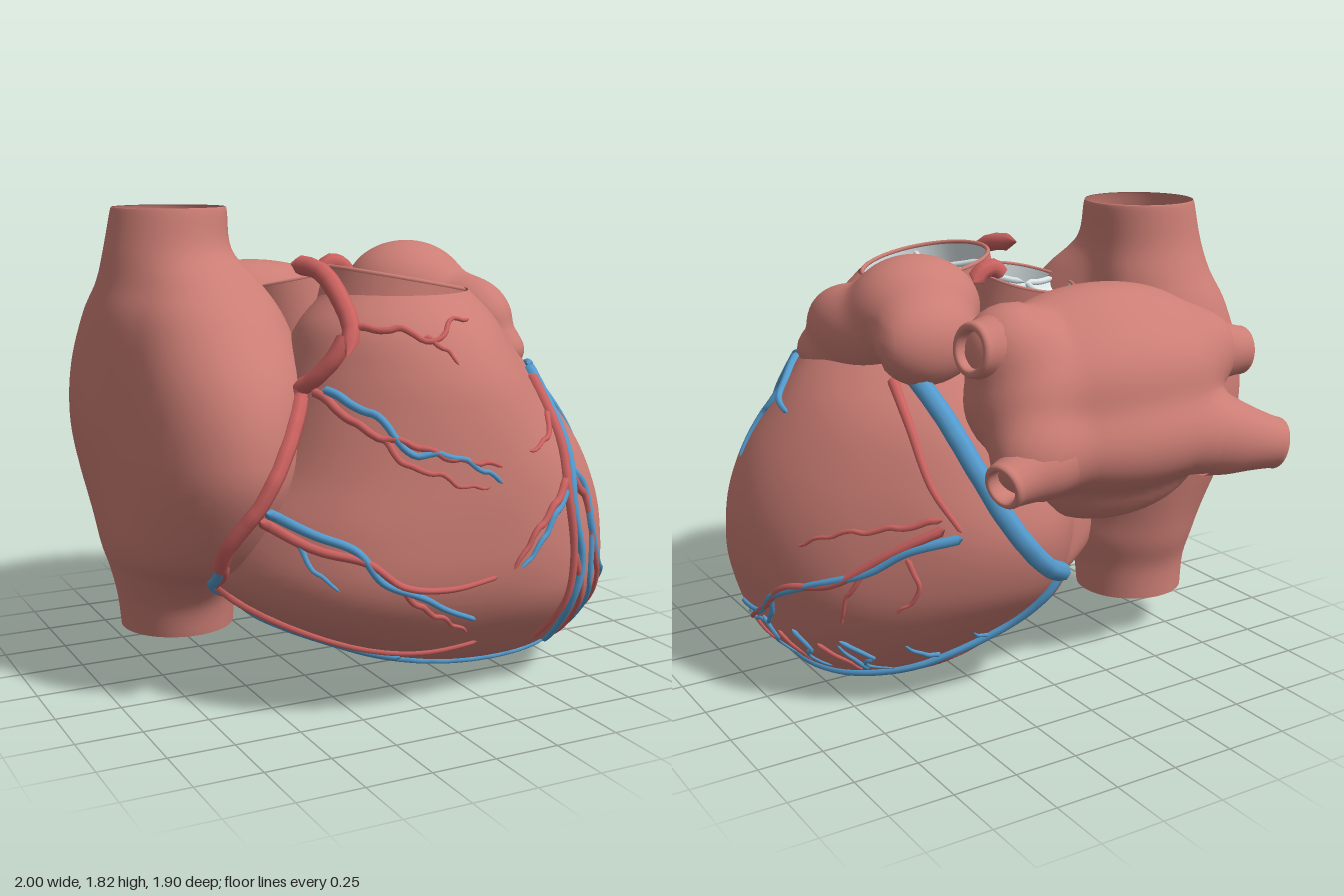
import * as THREE from 'three';
import { mergeVertices } from 'three/addons/utils/BufferGeometryUtils.js';

const paint = (color) => new THREE.MeshStandardMaterial({ color, side: THREE.DoubleSide });
const V = (p) => new THREE.Vector3(...p);

// Catmull-Rom blend of four numbers
const cubic = (a, b, c, d, t) =>
  b + 0.5 * t * (c - a + t * (2 * a - 5 * b + 4 * c - d + t * (3 * (b - c) + d - a)));

// Skin over horizontal rings: [y, centreX, centreZ, radii at +x, +x+z, +z, -x+z, -x, -x-z, -z, +x-z]
function loft(levels, steps, capBottom) {
  const around = 72, pos = [], index = [], last = levels.length - 1;
  const rows = last * steps + 1;
  for (let j = 0; j < rows; j++) {
    const k = Math.min(Math.floor(j / steps), last - 1), t = j / steps - k;
    const at = (i) => levels[Math.max(0, Math.min(last, i))];
    const L = levels[0].map((_, n) => cubic(at(k - 1)[n], at(k)[n], at(k + 1)[n], at(k + 2)[n], t));
    for (let i = 0; i < around; i++) {
      const u = (i / around) * 8, m = Math.floor(u), r = (n) => L[3 + ((m + n + 8) % 8)];
      const R = cubic(r(-1), r(0), r(1), r(2), u - m), a = (i / around) * Math.PI * 2;
      pos.push(L[1] + R * Math.cos(a), L[0], L[2] + R * Math.sin(a));
      const p = j * around + i, n = j * around + ((i + 1) % around);
      if (j < rows - 1) index.push(p, p + around, n, n, p + around, n + around);
    }
  }
  if (capBottom) {
    const c = pos.length / 3;
    pos.push(levels[0][1], levels[0][0], levels[0][2]);
    for (let i = 0; i < around; i++) index.push(c, i, (i + 1) % around);
  }
  const g = new THREE.BufferGeometry();
  g.setAttribute('position', new THREE.Float32BufferAttribute(pos, 3));
  g.setIndex(index);
  g.computeVertexNormals();
  return g;
}

// Smooth union of ellipsoids [x, y, z, rx, ry, rz], found outward from a centre
function blob(centre, lumps) {
  let g = new THREE.SphereGeometry(1, 72, 52);
  g.deleteAttribute('uv');
  g.deleteAttribute('normal');
  g = mergeVertices(g);
  const p = g.attributes.position, c = V(centre), d = new THREE.Vector3(), q = new THREE.Vector3();
  const field = () => lumps.reduce((s, [x, y, z, a, b, e]) =>
    s + Math.exp(4 - 4 * (((q.x - x) / a) ** 2 + ((q.y - y) / b) ** 2 + ((q.z - z) / e) ** 2)), 0);
  for (let i = 0; i < p.count; i++) {
    d.fromBufferAttribute(p, i).normalize();
    let lo = 0, hi = 1.3;
    for (let k = 0; k < 24; k++) {
      const m = (lo + hi) / 2;
      q.copy(c).addScaledVector(d, m);
      if (field() > 1) lo = m; else hi = m;
    }
    q.copy(c).addScaledVector(d, lo);
    p.setXYZ(i, q.x, q.y, q.z);
  }
  g.computeVertexNormals();
  return g;
}

// Tapered tube with closed ends
function taperedTube(points, radius, tip) {
  const curve = new THREE.CatmullRomCurve3(points), seg = points.length * 2, sides = 8;
  const g = new THREE.TubeGeometry(curve, seg, radius, sides);
  const p = g.attributes.position, v = new THREE.Vector3();
  for (let i = 0; i <= seg; i++) {
    const c = curve.getPointAt(i / seg), s = i === 0 || i === seg ? 0 : 1 + (tip - 1) * (i / seg);
    for (let k = 0; k <= sides; k++) {
      const n = i * (sides + 1) + k;
      v.fromBufferAttribute(p, n).sub(c).multiplyScalar(s).add(c);
      p.setXYZ(n, v.x, v.y, v.z);
    }
  }
  return g;
}

export function createModel() {
  const model = new THREE.Group();
  const flesh = paint(0xcb7d74), red = paint(0xcc6260), blue = paint(0x559ccf), white = paint(0xdbe6e8);
  const add = (name, geometry, material, parent = model) => {
    const m = new THREE.Mesh(geometry, material);
    m.name = name;
    parent.add(m);
    return m;
  };

  // Main muscle, apex at the bottom, open at the outflow
  const ventricles = add('ventricles', loft([
    [0, 0.5, 0.15, 0.06, 0.06, 0.06, 0.06, 0.06, 0.06, 0.06, 0.06],
    [0.04, 0.45, 0.15, 0.3, 0.31, 0.3, 0.3, 0.25, 0.25, 0.26, 0.29],
    [0.1, 0.38, 0.15, 0.45, 0.49, 0.47, 0.48, 0.4, 0.37, 0.41, 0.44],
    [0.2, 0.32, 0.14, 0.6, 0.65, 0.6, 0.66, 0.58, 0.48, 0.52, 0.57],
    [0.35, 0.22, 0.13, 0.75, 0.81, 0.73, 0.83, 0.75, 0.58, 0.66, 0.72],
    [0.5, 0.2, 0.13, 0.8, 0.84, 0.79, 0.91, 0.84, 0.6, 0.77, 0.77],
    [0.7, 0.2, 0.15, 0.79, 0.8, 0.79, 0.88, 0.8, 0.6, 0.84, 0.77],
    [0.9, 0.2, 0.17, 0.72, 0.71, 0.77, 0.8, 0.66, 0.56, 0.81, 0.73],
    [1.1, 0.18, 0.19, 0.61, 0.58, 0.73, 0.71, 0.56, 0.5, 0.72, 0.66],
    [1.25, 0.15, 0.22, 0.51, 0.49, 0.66, 0.62, 0.48, 0.4, 0.56, 0.54],
    [1.4, 0.1, 0.28, 0.39, 0.41, 0.51, 0.48, 0.38, 0.22, 0.26, 0.39],
    [1.51, 0.07, 0.37, 0.275, 0.28, 0.285, 0.285, 0.28, 0.25, 0.265, 0.275],
  ], 6, true), flesh);

  // Right atrium running into the two great veins, open at both ends
  const ring = (y, r) => [y, -0.64, -0.12, r, r, r, r, r, r, r, r];
  const rightAtrium = add('rightAtriumAndGreatVeins', loft([
    ring(0.17, 0.222),
    [0.3, -0.64, -0.12, 0.23, 0.24, 0.26, 0.26, 0.24, 0.23, 0.23, 0.23],
    [0.42, -0.63, -0.12, 0.25, 0.26, 0.38, 0.33, 0.28, 0.27, 0.27, 0.25],
    [0.55, -0.63, -0.12, 0.25, 0.34, 0.62, 0.4, 0.32, 0.31, 0.3, 0.26],
    [0.8, -0.63, -0.12, 0.3, 0.45, 0.77, 0.41, 0.35, 0.4, 0.36, 0.3],
    [1, -0.63, -0.12, 0.34, 0.5, 0.78, 0.4, 0.36, 0.44, 0.39, 0.3],
    [1.2, -0.63, -0.12, 0.33, 0.53, 0.7, 0.38, 0.34, 0.43, 0.38, 0.3],
    [1.4, -0.63, -0.12, 0.26, 0.46, 0.52, 0.34, 0.31, 0.37, 0.33, 0.27],
    [1.53, -0.63, -0.12, 0.23, 0.36, 0.37, 0.29, 0.28, 0.3, 0.28, 0.25],
    [1.65, -0.64, -0.12, 0.22, 0.25, 0.26, 0.25, 0.25, 0.25, 0.24, 0.23],
    ring(1.79, 0.222), ring(1.81, 0.215),
  ], 6, false), flesh);

  // Left atrium: one pillow with four corners pulled toward the veins
  add('leftAtrium', blob([-0.17, 1.2, -0.58], [
    [-0.17, 1.37, -0.49, 0.44, 0.2, 0.23], [-0.17, 1.23, -0.63, 0.46, 0.24, 0.23],
    [-0.18, 1.04, -0.72, 0.44, 0.19, 0.19], [-0.18, 0.9, -0.6, 0.38, 0.2, 0.17],
    [0.25, 1.39, -0.56, 0.17, 0.16, 0.17], [0.24, 1.04, -0.73, 0.18, 0.17, 0.14],
    [0.22, 1.2, -0.58, 0.2, 0.22, 0.22],
    [-0.53, 1.29, -0.58, 0.21, 0.16, 0.16], [-0.53, 1, -0.77, 0.21, 0.14, 0.13],
  ]), flesh);

  // Flap draped from the left atrium over the front shoulder
  add('leftAtrialFlap', blob([0.45, 1.4, 0.05], [
    [0.36, 1.46, -0.06, 0.25, 0.2, 0.24], [0.51, 1.36, 0.14, 0.16, 0.17, 0.28],
    [0.55, 1.25, 0.27, 0.12, 0.1, 0.2], [0.42, 1.37, -0.26, 0.2, 0.16, 0.13],
  ]), flesh);

  // Four flared vein stubs with recessed openings
  for (const [from, to, r] of [
    [[0.22, 1.39, -0.56], [0.44, 1.41, -0.59], 0.1], [[0.2, 1.02, -0.74], [0.44, 0.97, -0.8], 0.085],
    [[-0.5, 1.29, -0.58], [-0.78, 1.27, -0.62], 0.095], [[-0.5, 1.01, -0.76], [-0.78, 0.95, -0.85], 0.1],
  ]) {
    const axis = V(to).sub(V(from)), len = axis.length();
    const profile = [[1.6, 0], [1.45, 0.3], [1.2, 0.6], [1.02, 0.85], [0.98, 0.96], [0.85, 1], [0.68, 0.95], [0.6, 0.6], [0, 0.5]];
    const stub = add('pulmonaryVein', new THREE.LatheGeometry(
      new THREE.SplineCurve(profile.map(([a, b]) => new THREE.Vector2(a * r, b * len))).getPoints(32), 28), flesh);
    stub.position.copy(V(from));
    stub.quaternion.setFromUnitVectors(new THREE.Vector3(0, 1, 0), axis.normalize());
  }

  // Three-cusped valve inside a short root
  function valve(name, position, R, depth, turn, tilt) {
    const g = new THREE.Group();
    g.name = name;
    g.position.set(...position);
    g.rotation.set(...tilt);
    model.add(g);
    add('rootWall', new THREE.CylinderGeometry(R * 1.05, R * 1.1, 0.24, 48, 1, true), flesh, g).position.y = -0.12;
    add('rootLining', new THREE.CylinderGeometry(R, R, depth + 0.03, 48, 1, true), white, g).position.y = -depth / 2 - 0.015;
    add('rootRim', new THREE.TorusGeometry(R * 1.025, R * 0.035, 8, 48), flesh, g).rotation.x = Math.PI / 2;
    const cusps = new THREE.RingGeometry(0.001, R, 72, 12), p = cusps.attributes.position;
    for (let i = 0; i < p.count; i++) {
      const x = p.getX(i), z = p.getY(i), a = Math.atan2(z, x) - turn;
      const dip = Math.pow(Math.abs(Math.sin(a * 1.5)), 0.6) * Math.min(1, 1.7 * Math.hypot(x, z) / R);
      p.setXYZ(i, x, -0.025 - depth * dip, z);
    }
    cusps.computeVertexNormals();
    add('cusps', cusps, white, g);
    for (let k = 0; k < 3; k++) {
      const a = turn + (k * Math.PI * 2) / 3;
      add('cuspEdge', taperedTube([V([0, -0.022, 0]), V([R * 0.5 * Math.cos(a), -0.026, R * 0.5 * Math.sin(a)]),
        V([R * Math.cos(a), -0.015, R * Math.sin(a)])], 0.013, 1), white, g);
    }
  }
  valve('pulmonaryValve', [0.07, 1.55, 0.375], 0.255, 0.09, -0.2, [-0.01, 0, -0.19]);
  valve('aorticValve', [-0.17, 1.52, -0.02], 0.19, 0.06, 0.7, [-0.16, 0, 0.14]);

  // Surface vessels: front paths are (x, y), side paths (z, y), others snap toward the centre
  model.updateMatrixWorld(true);
  const caster = new THREE.Raycaster(), core = new THREE.Vector3(0.15, 0.65, 0.15);
  function snap(p, view, lift) {
    const o = new THREE.Vector3(), d = new THREE.Vector3();
    if (view === 'front') { o.set(p.x, p.y, 3); d.set(0, 0, -1); }
    else if (view === 'side') { o.set(3, p.y, p.x); d.set(-1, 0, 0); }
    else { d.copy(core).sub(p).normalize(); o.copy(core).addScaledVector(d, -3); }
    caster.set(o, d);
    const hit = caster.intersectObjects(view === 'front' ? [ventricles, rightAtrium] : [ventricles])[0];
    return hit && hit.point.addScaledVector(hit.face.normal, lift);
  }
  function vessel(name, material, radius, view, path, tip = 0.45) {
    const curve = new THREE.CatmullRomCurve3(path.map(([a, b, c = 0]) => new THREE.Vector3(a, b, c)));
    const n = Math.max(6, Math.ceil(curve.getLength() / 0.035));
    const pts = curve.getSpacedPoints(n).map((p, i) => {
      if (radius < 0.02) p.y += 0.007 * Math.sin(i * 1.9);
      return snap(p, view, radius * 0.3);
    }).filter(Boolean);
    if (pts.length > 2) add(name, taperedTube(pts, radius, tip), material);
  }
  const artery = (...a) => vessel('coronaryArtery', red, ...a);
  const vein = (...a) => vessel('cardiacVein', blue, ...a);

  // Right coronary trunk and left coronary stub
  add('rightCoronaryRoot', taperedTube([[-0.31, 1.61, 0.27], [-0.26, 1.59, 0.42], [-0.24, 1.5, 0.54], [-0.24, 1.4, 0.63], [-0.28, 1.31, 0.67]].map(V), 0.037, 0.9), red);
  add('leftCoronaryStub', taperedTube([[-0.03, 1.54, -0.06], [0.01, 1.58, -0.06], [0.06, 1.57, -0.06], [0.1, 1.53, -0.06]].map(V), 0.036, 1), red);
  artery(0.034, 'front', [[-0.25, 1.38], [-0.3, 1.29], [-0.4, 1.14], [-0.52, 0.96], [-0.62, 0.79], [-0.69, 0.66], [-0.7, 0.55]], 0.8);
  artery(0.022, 'front', [[-0.69, 0.57], [-0.62, 0.42], [-0.42, 0.3], [-0.2, 0.21], [0, 0.19], [0.22, 0.23]], 0.35);
  vein(0.022, 'front', [[-0.7, 0.57], [-0.65, 0.44], [-0.5, 0.32], [-0.3, 0.24], [-0.1, 0.16], [0, 0.14]], 0.7);

  // Front branches on the right side of the muscle
  vein(0.018, 'front', [[-0.34, 1.19], [-0.2, 1.09], [-0.15, 1], [0, 0.98], [0.12, 0.92], [0.2, 0.87]]);
  artery(0.018, 'front', [[-0.36, 1.18], [-0.25, 1.06], [-0.12, 1.02], [0, 0.97], [0.1, 0.95], [0.2, 0.93]]);
  artery(0.013, 'front', [[-0.22, 1.05], [-0.15, 0.95], [-0.05, 0.92], [0.04, 0.87], [0.15, 0.86]]);
  artery(0.015, 'front', [[-0.24, 1.4], [-0.1, 1.4], [0, 1.36], [0.07, 1.42], [0.17, 1.43]]);
  artery(0.011, 'front', [[-0.04, 1.38], [0.02, 1.34], [0.06, 1.29]]);
  vein(0.02, 'front', [[-0.58, 0.78], [-0.45, 0.71], [-0.33, 0.66], [-0.25, 0.55], [-0.1, 0.48], [0, 0.42], [0.15, 0.35]]);
  artery(0.02, 'front', [[-0.6, 0.75], [-0.45, 0.66], [-0.3, 0.62], [-0.18, 0.53], [0, 0.5], [0.2, 0.52]]);
  artery(0.013, 'front', [[-0.2, 0.53], [-0.1, 0.44], [0, 0.38], [0.14, 0.29]]);
  vein(0.012, 'front', [[-0.49, 0.68], [-0.45, 0.58], [-0.38, 0.52]]);

  // Front trunk pair and its fan toward the apex
  artery(0.024, 'front', [[0.54, 1.18], [0.55, 0.95], [0.54, 0.8], [0.57, 0.55], [0.56, 0.35], [0.5, 0.18]]);
  vein(0.026, 'front', [[0.58, 1.2], [0.58, 0.9], [0.57, 0.72], [0.62, 0.5], [0.6, 0.3], [0.62, 0.12]]);
  vein(0.02, 'front', [[0.57, 0.86], [0.66, 0.78], [0.7, 0.6], [0.76, 0.46], [0.84, 0.39], [0.88, 0.28]]);
  artery(0.018, 'front', [[0.57, 0.84], [0.67, 0.72], [0.71, 0.55], [0.77, 0.4], [0.8, 0.25]]);
  artery(0.016, 'front', [[0.57, 0.55], [0.64, 0.4], [0.68, 0.25], [0.69, 0.12]]);
  vein(0.014, 'front', [[0.7, 0.6], [0.7, 0.42], [0.74, 0.28], [0.72, 0.15]]);
  artery(0.018, 'front', [[0.55, 0.83], [0.45, 0.74], [0.36, 0.66], [0.27, 0.54]]);
  vein(0.016, 'front', [[0.56, 0.8], [0.46, 0.71], [0.39, 0.62], [0.3, 0.53]]);
  artery(0.014, 'front', [[0.53, 1.06], [0.46, 0.99], [0.33, 0.96]]);

  // Outer side: groove pair and branches
  vein(0.038, 'snap', [[0.5, 1.31, -0.28], [0.47, 1.17, -0.46], [0.41, 0.97, -0.6], [0.32, 0.77, -0.67], [0.18, 0.6, -0.68], [0.03, 0.5, -0.62]], 1);
  artery(0.022, 'snap', [[0.56, 1.28, -0.22], [0.56, 1.1, -0.38], [0.54, 0.9, -0.5], [0.46, 0.75, -0.56]]);
  vein(0.022, 'side', [[0.46, 1.2], [0.32, 1.15], [0.27, 1.1], [0.12, 1.07]]);
  vein(0.016, 'side', [[0.3, 1.13], [0.37, 0.98], [0.38, 0.85]]);
  vein(0.02, 'side', [[-0.62, 0.74], [-0.5, 0.68], [-0.4, 0.59], [-0.2, 0.5], [0, 0.4], [0.12, 0.3], [0.33, 0.27]]);
  artery(0.02, 'side', [[-0.58, 0.77], [-0.45, 0.66], [-0.3, 0.53], [-0.1, 0.47], [0.05, 0.35], [0.3, 0.2]]);
  artery(0.014, 'side', [[-0.57, 0.8], [-0.42, 0.75], [-0.3, 0.72], [-0.16, 0.65]]);
  artery(0.012, 'side', [[-0.5, 0.66], [-0.53, 0.54], [-0.46, 0.43]]);
  artery(0.012, 'side', [[-0.4, 0.6], [-0.34, 0.48], [-0.3, 0.36]]);
  vein(0.012, 'side', [[-0.02, 0.41], [0.08, 0.27], [0.3, 0.23]]);
  for (const z of [-0.25, -0.06, 0.12]) {
    vein(0.012, 'side', [[z, 0.28], [z - 0.04, 0.2], [z + 0.02, 0.14], [z - 0.02, 0.09]]);
    artery(0.011, 'side', [[z + 0.1, 0.24], [z + 0.05, 0.16], [z + 0.08, 0.1]]);
  }

  // Underside pair running to the apex with short twigs
  vein(0.022, 'snap', [[0.03, 0.5, -0.62], [0.18, 0.28, -0.5], [0.42, 0.14, -0.36], [0.64, 0.1, -0.1], [0.74, 0.09, 0.2], [0.66, 0.07, 0.5]]);
  artery(0.017, 'snap', [[-0.02, 0.46, -0.58], [0.14, 0.25, -0.45], [0.36, 0.12, -0.3], [0.56, 0.06, -0.06], [0.66, 0.06, 0.2]]);
  vein(0.016, 'snap', [[-0.05, 0.14, 0.5], [0.1, 0.09, 0.55], [0.35, 0.06, 0.58], [0.6, 0.07, 0.58], [0.78, 0.12, 0.5]]);
  artery(0.012, 'snap', [[0, 0.1, 0.45], [0.25, 0.05, 0.5], [0.5, 0.05, 0.52], [0.72, 0.09, 0.5]]);
  for (const [x, z] of [[0.2, -0.46], [0.42, -0.33], [0.58, -0.15]]) {
    vein(0.012, 'snap', [[x, 0.2, z], [x + 0.12, 0.2, z - 0.06], [x + 0.17, 0.28, z - 0.05]]);
    artery(0.011, 'snap', [[x - 0.05, 0.1, z + 0.05], [x - 0.1, 0.06, z + 0.2], [x - 0.02, 0.03, z + 0.3]]);
  }
  return model;
}
